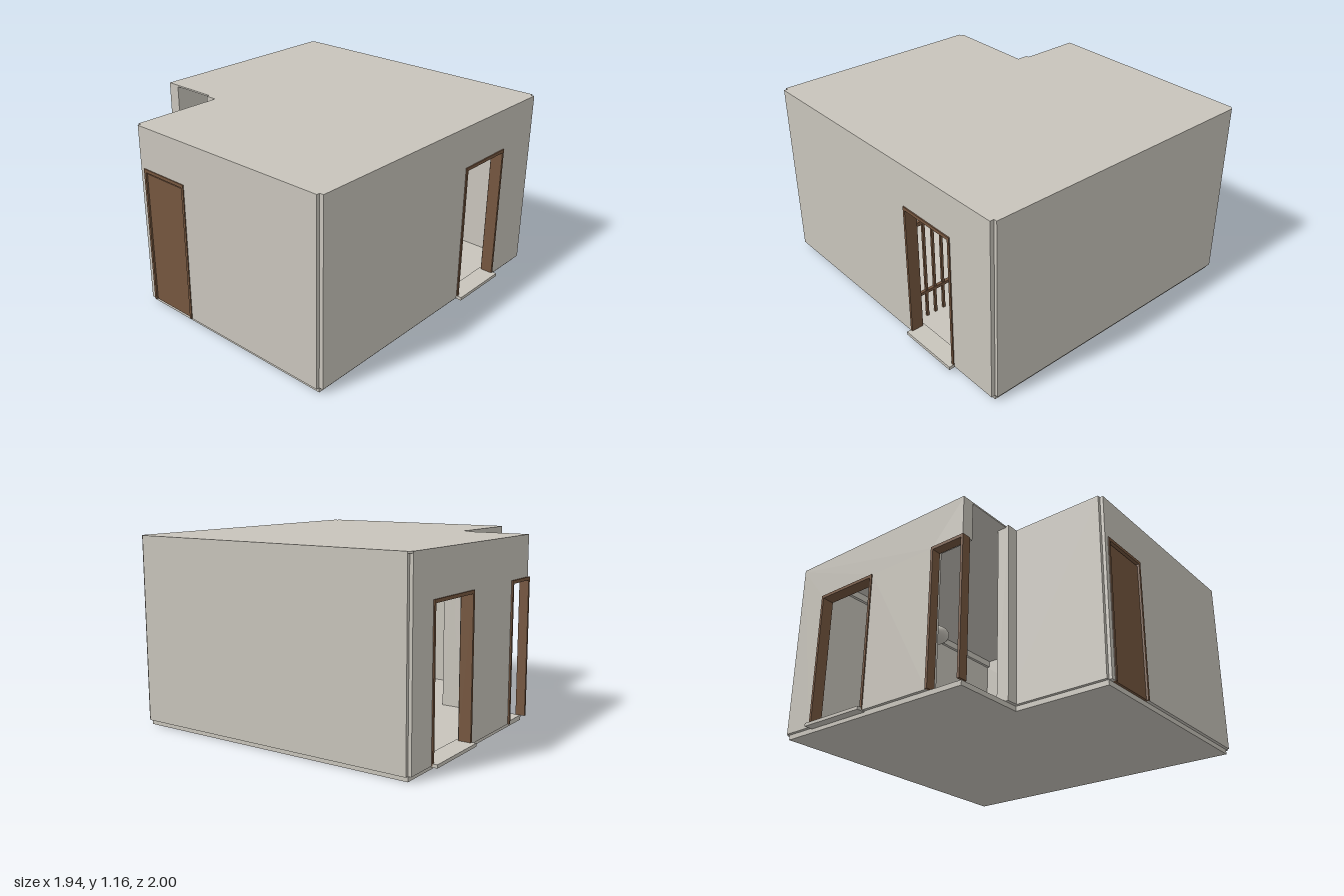
import * as THREE from 'three';
import { RoundedBoxGeometry } from 'three/addons/geometries/RoundedBoxGeometry.js';

export function createModel() {
  const plaster = new THREE.MeshStandardMaterial({ color: 0xc8c4bb });
  plaster.name = 'warm grey plaster';
  const wood = new THREE.MeshStandardMaterial({ color: 0x75563f });
  wood.name = 'brown wood';

  const model = new THREE.Group();
  model.name = 'room';
  const FLOOR = 0.03, TOP = 1.157, DOOR = 0.9, THICK = 0.08;

  function group(name, parent = model) {
    const g = new THREE.Group();
    g.name = name;
    parent.add(g);
    return g;
  }
  function add(name, geometry, material, parent = model) {
    const mesh = new THREE.Mesh(geometry, material);
    mesh.name = name;
    parent.add(mesh);
    return mesh;
  }
  // Box given by its limits along each axis
  function box(name, [x0, x1], [y0, y1], [z0, z1], material, parent) {
    const geo = new THREE.BoxGeometry(x1 - x0, y1 - y0, z1 - z0);
    geo.translate((x0 + x1) / 2, (y0 + y1) / 2, (z0 + z1) / 2);
    return add(name, geo, material, parent);
  }
  // Horizontal slab from a plan outline of [x, z] points
  function slab(name, outline, y0, y1) {
    const shape = new THREE.Shape(outline.map(([x, z]) => new THREE.Vector2(x, -z)));
    const geo = new THREE.ExtrudeGeometry(shape, { depth: y1 - y0, bevelEnabled: false });
    geo.rotateX(-Math.PI / 2).translate(0, y0, 0);
    return add(name, geo, plaster);
  }
  // Wall from a to b with door openings cut up from the floor
  function wall(name, a, b, openings, alongZ, offset) {
    const s = new THREE.Shape();
    s.moveTo(a, FLOOR);
    for (const [p, q] of openings) {
      s.lineTo(p, FLOOR); s.lineTo(p, DOOR); s.lineTo(q, DOOR);
      if (q < b) s.lineTo(q, FLOOR);
    }
    if (!openings.length || openings[openings.length - 1][1] < b) s.lineTo(b, FLOOR);
    s.lineTo(b, TOP - 0.01);
    s.lineTo(a, TOP - 0.01);
    const geo = new THREE.ExtrudeGeometry(s, { depth: THICK, bevelEnabled: false });
    if (alongZ) geo.rotateY(-Math.PI / 2).translate(offset + THICK, 0, 0);
    else geo.translate(0, 0, offset);
    add(name, geo, plaster);
  }

  // Floor and roof
  slab('baseSlab', [[-0.92, -0.98], [0.91, -0.98], [0.91, 0.97], [-0.46, 0.97],
    [-0.46, 0.37], [-0.92, 0.37]], 0, FLOOR);
  slab('roof', [[-0.94, -0.98], [-0.92, -1], [0.91, -1], [0.91, -0.98], [0.935, -0.98],
    [0.935, 0.97], [0.91, 0.97], [0.91, 0.99], [-0.46, 0.99], [-0.46, 0.97], [-0.48, 0.97],
    [-0.48, 0.39], [-0.555, 0.39], [-0.555, 0.37], [-0.94, 0.37]], TOP - 0.01, TOP);

  // Walls
  wall('backWall', -0.92, 0.91, [], false, -1);
  wall('frontWall', -0.46, 0.91, [[-0.425, -0.085]], false, 0.91);
  wall('leftWall', -0.98, 0.97, [[-0.66, -0.26]], true, 0.855);
  wall('rightWall', -0.98, 0.37, [[-0.78, -0.34], [0.14, 0.37]], true, -0.94);
  wall('porchSideWall', 0.31, 0.97, [], true, -0.48);
  wall('porchReturnWall', -0.555, -0.4, [], false, 0.31);
  box('cornice', [-0.86, 0.86], [1.1, TOP - 0.01], [-0.92, -0.9], plaster);

  // Door frames: two jambs and a head
  function frame(name, x, z, alongZ) {
    const g = group(name), w = 0.016, y = [FLOOR, DOOR], head = [DOOR - 0.02, DOOR];
    if (alongZ) {
      box('jamb', x, y, [z[0], z[0] + w], wood, g);
      box('jamb', x, y, [z[1] - w, z[1]], wood, g);
      box('head', x, head, [z[0] + w, z[1] - w], wood, g);
    } else {
      box('jamb', [x[0], x[0] + w], y, z, wood, g);
      box('jamb', [x[1] - w, x[1]], y, z, wood, g);
      box('head', [x[0] + w, x[1] - w], head, z, wood, g);
    }
  }
  frame('leftDoorFrame', [0.865, 0.942], [-0.66, -0.26], true);
  frame('rightDoorFrame', [-0.947, -0.87], [-0.78, -0.34], true);
  frame('porchDoorFrame', [-0.95, -0.89], [0.14, 0.38], true);
  frame('frontDoorFrame', [-0.43, -0.085], [0.92, 0.996], false);
  box('frontDoor', [-0.414, -0.104], [FLOOR, 0.868], [0.955, 0.985], wood);
  box('leftThreshold', [0.85, 0.97], [0.024, 0.044], [-0.66, -0.26], plaster);
  box('rightThreshold', [-0.975, -0.85], [0.024, 0.044], [-0.78, -0.34], plaster);

  // Pendant lamp
  const lamp = group('pendantLamp');
  lamp.position.set(-0.24, 0, -0.465);
  const shade = add('lampShade', new THREE.SphereGeometry(0.09, 28, 18), plaster, lamp);
  shade.scale.y = 0.64;
  shade.position.y = 0.813;
  const cord = add('lampCord', new THREE.CylinderGeometry(0.004, 0.004, 0.29, 8), wood, lamp);
  cord.position.y = 1.005;

  // Dining table
  const table = group('table');
  box('tableTop', [-0.46, -0.02], [0.32, 0.338], [-0.62, -0.31], wood, table);
  for (const x of [-0.42, -0.06]) for (const z of [-0.53, -0.41])
    box('tableLeg', [x - 0.007, x + 0.007], [FLOOR, 0.32], [z - 0.007, z + 0.007], wood, table);

  // Four padded chairs facing the table
  for (const side of [-1, 1]) for (const z of [-0.585, -0.35]) {
    const chair = group('chair');
    chair.position.set(-0.24, 0, z);
    const back = add('chairBack', new RoundedBoxGeometry(0.034, 0.23, 0.168, 4, 0.016), plaster, chair);
    back.position.set(side * 0.333, 0.297, 0);
    const seat = add('chairSeat', new RoundedBoxGeometry(0.16, 0.036, 0.168, 4, 0.016), plaster, chair);
    seat.position.set(side * 0.26, 0.198, 0);
    for (const x of [0.2, 0.32]) for (const dz of [-0.06, 0.06])
      box('chairLeg', [side * x - 0.006, side * x + 0.006], [FLOOR, 0.185], [dz - 0.006, dz + 0.006], wood, chair);
  }

  // Slatted wooden screen beside the left doorway
  const screen = group('slattedScreen');
  box('screenRail', [0.46, 0.85], [0.69, 0.715], [-0.21, -0.19], wood, screen);
  box('screenRail', [0.46, 0.85], [0.2, 0.22], [-0.21, -0.19], wood, screen);
  for (let i = 0; i < 7; i++) {
    const x = 0.47 + i * 0.061;
    box('screenSlat', [x - 0.008, x + 0.008], [FLOOR, 0.69], [-0.207, -0.193], wood, screen);
  }
  return model;
}
